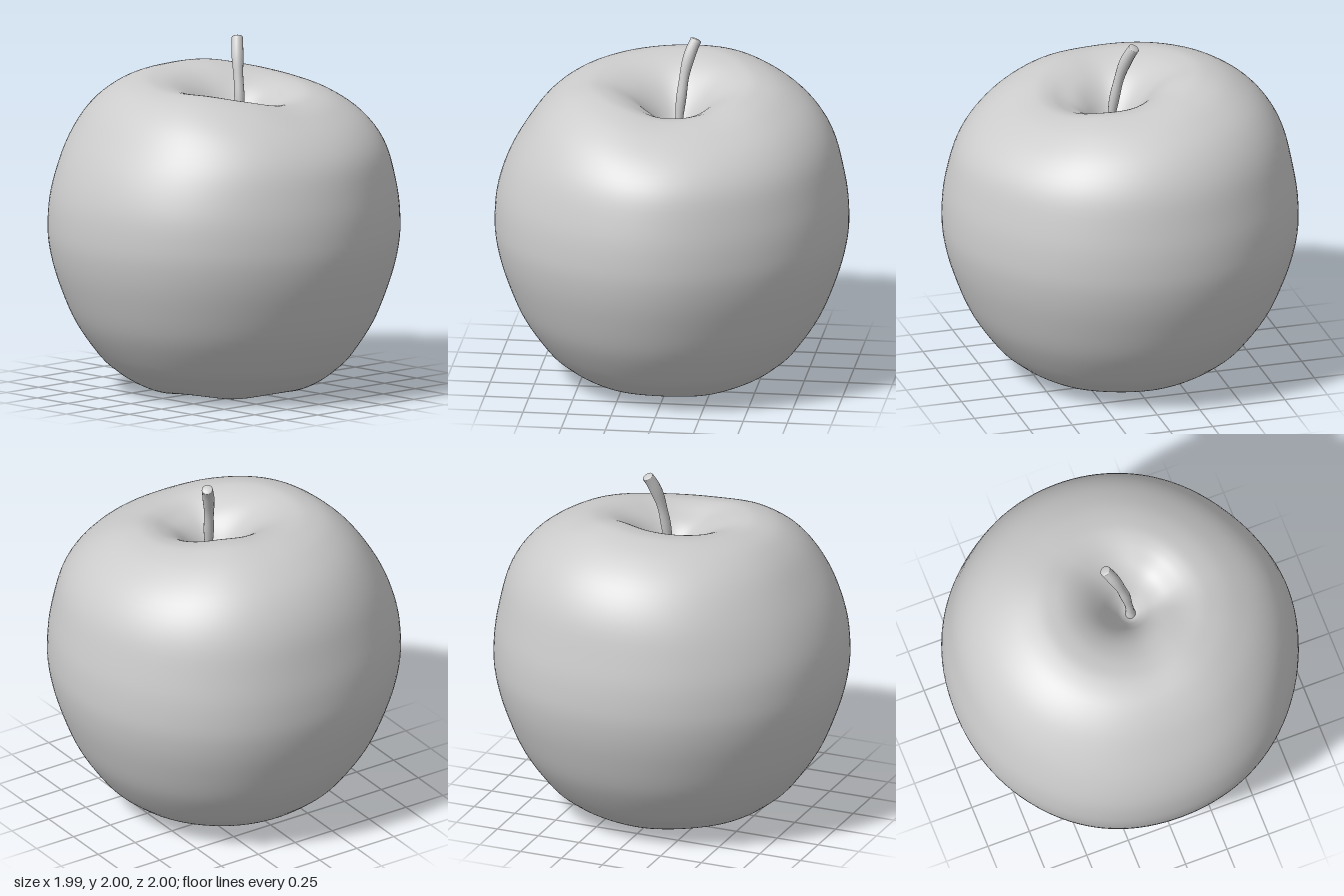
import * as THREE from 'three';
import { mergeVertices } from 'three/addons/utils/BufferGeometryUtils.js';

const material = new THREE.MeshStandardMaterial({ color: 0xcccccc });

// Values every 30 degrees, from the front round through +x
const GIRTH = [1, 0.975, 0.982, 0.993, 1.01, 1.02, 1, 1.005, 1.012, 1, 1.003, 0.995];
const RIM = [1.67, 1.675, 1.71, 1.735, 1.77, 1.805, 1.8, 1.785, 1.765, 1.745, 1.74, 1.71];
const SHOULDER = [0.025, 0.025, 0.03, 0.035, 0.04, 0.045, 0.045, 0.02, -0.015, -0.03, -0.01, 0.015];

// Smooth periodic lookup in a ring table
function ring(table, angle) {
  const n = table.length;
  const t = (((angle / (2 * Math.PI)) % 1) + 1) % 1 * n;
  const i = Math.floor(t), f = t - i;
  const [a, b, c, d] = [-1, 0, 1, 2].map((k) => table[(i + k + n) % n]);
  return b + 0.5 * f * (c - a + f * (2 * a - 5 * b + 4 * c - d + f * (3 * (b - c) + d - a)));
}

// Moves vertices by a rule, then rebuilds seamless smooth normals
function deform(geometry, rule) {
  geometry.deleteAttribute('uv');
  geometry.deleteAttribute('normal');
  const p = geometry.attributes.position, v = new THREE.Vector3();
  for (let i = 0; i < p.count; i++) {
    v.fromBufferAttribute(p, i);
    rule(v, i);
    p.setXYZ(i, v.x, v.y, v.z);
  }
  const merged = mergeVertices(geometry, 1e-5);
  merged.computeVertexNormals();
  return merged;
}

function named(name, geometry) {
  const mesh = new THREE.Mesh(geometry, material);
  mesh.name = name;
  return mesh;
}

// Fruit: one turned profile, from the calyx hollow out and up into the stem hollow
function makeFruit() {
  const profile = [
    [0, 0.16], [0.05, 0.155], [0.1, 0.125], [0.18, 0.065], [0.27, 0.026], [0.37, 0.014],
    [0.46, 0.03], [0.55, 0.07], [0.63, 0.125], [0.715, 0.205], [0.845, 0.395], [0.935, 0.61],
    [0.985, 0.79], [1, 0.95], [0.98, 1.15], [0.905, 1.38], [0.78, 1.57], [0.63, 1.69],
    [0.49, 1.738], [0.39, 1.735], [0.3, 1.705], [0.22, 1.655], [0.15, 1.58], [0.09, 1.485],
    [0.045, 1.42], [0, 1.39],
  ].map(([r, y]) => new THREE.Vector2(r, y));
  const points = new THREE.SplineCurve(profile).getPoints(120);
  points.forEach((q) => { q.x = Math.max(q.x, 0); });
  points[0].x = points[points.length - 1].x = 0;

  const { smoothstep } = THREE.MathUtils;
  return deform(new THREE.LatheGeometry(points, 120), (v) => {
    const r = Math.hypot(v.x, v.z), a = Math.atan2(v.x, v.z);
    // uneven girth and shoulders
    const shoulder = ring(SHOULDER, a) * Math.exp(-((v.y - 1.52) ** 2) / 0.05) * smoothstep(r, 0.42, 0.75);
    const g = 1 + (ring(GIRTH, a) - 1) * smoothstep(r, 0.2, 1) + shoulder;
    v.x *= g;
    v.z *= g;
    if (v.y > 1) {
      // tilted, wavy rim
      const w = smoothstep(v.y, 1.25, 1.74) * smoothstep(r, 0.02, 0.35);
      v.y += (ring(RIM, a) - 1.74) * w;
      // off-centre hollow with a soft groove to the front
      const near = 1 - smoothstep(r, 0, 0.5);
      v.x += 0.03 * near;
      v.z += 0.055 * near;
      v.y -= 0.015 * Math.exp(-((a + 0.3) ** 2) / 0.1) * Math.exp(-((r - 0.25) ** 2) / 0.015);
    } else {
      // five lobes and radiating folds round the calyx
      v.y -= 0.011 * Math.cos(5 * (a - 0.6)) * Math.exp(-((r - 0.33) ** 2) / 0.02);
      v.y += 0.007 * Math.cos(10 * a) * Math.exp(-((r - 0.15) ** 2) / 0.003);
    }
  });
}

// Stem: curved tube that widens to a cut end
function makeStem() {
  const curve = new THREE.CatmullRomCurve3([
    [0.035, 1.37, 0.07], [0.045, 1.52, 0.06], [0.058, 1.68, 0.04],
    [0.078, 1.83, 0.008], [0.105, 1.93, -0.025], [0.128, 1.985, -0.05],
  ].map((p) => new THREE.Vector3(...p)));
  const rows = 32, sides = 14;
  const geometry = deform(new THREE.TubeGeometry(curve, rows, 1, sides), (v, i) => {
    const t = Math.floor(i / (sides + 1)) / rows;
    const c = curve.getPointAt(t);
    const radius = 0.021 + 0.013 * t + 0.002 * Math.sin(t * 17) + 0.012 * Math.max(0, 1 - t * 8);
    v.sub(c).multiplyScalar(radius).add(c);
  });
  return { geometry, end: curve.getPointAt(1), dir: curve.getTangentAt(1) };
}

export function createModel() {
  const group = new THREE.Group();
  group.name = 'apple';
  group.add(named('fruit', makeFruit()));

  const stem = makeStem();
  group.add(named('stem', stem.geometry));

  // Rounded cap on the stem end
  const cap = named('stemCap', new THREE.SphereGeometry(0.032, 14, 6, 0, Math.PI * 2, 0, Math.PI / 2));
  cap.scale.y = 0.3;
  cap.position.copy(stem.end);
  cap.quaternion.setFromUnitVectors(new THREE.Vector3(0, 1, 0), stem.dir);
  group.add(cap);

  // Dried calyx: a knob with three stubby sepals
  const calyx = new THREE.Group();
  calyx.name = 'calyx';
  const knob = named('calyxKnob', new THREE.SphereGeometry(0.05, 16, 12));
  knob.position.y = 0.1;
  knob.scale.y = 1.3;
  calyx.add(knob);
  for (let i = 0; i < 3; i++) {
    const a = (i / 3) * Math.PI * 2 + 0.3;
    const sepal = named('sepal', new THREE.SphereGeometry(0.032, 12, 8));
    sepal.position.set(0.04 * Math.sin(a), 0.07 + 0.01 * (i % 2), 0.04 * Math.cos(a));
    sepal.scale.set(0.9, 0.9, 1.4);
    sepal.rotation.y = a;
    calyx.add(sepal);
  }
  group.add(calyx);
  return group;
}
